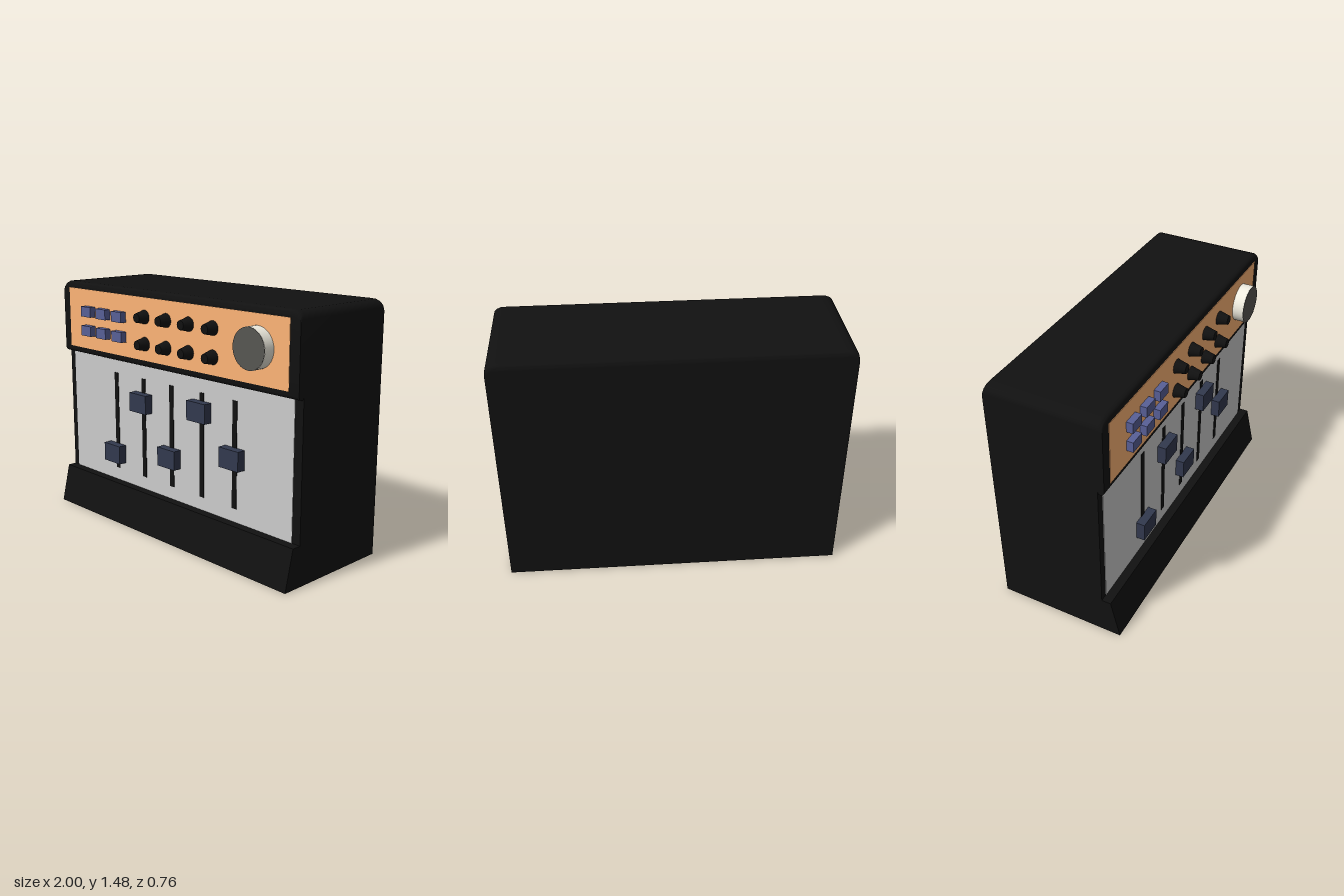
import * as THREE from 'three';
import { toCreasedNormals } from 'three/addons/utils/BufferGeometryUtils.js';

const paint = (color) => new THREE.MeshStandardMaterial({ color });

export function createModel() {
  const model = new THREE.Group();
  const black = paint(0x111111);
  const grey = paint(0xcccccc);
  const orange = paint(0xfdb476);
  const blue = paint(0x586097);
  const navy = paint(0x32394e);
  const ivory = paint(0xf0ede0);
  const capGrey = paint(0x575652);

  function add(name, geometry, material, x = 0, y = 0, z = 0) {
    const mesh = new THREE.Mesh(geometry, material);
    mesh.name = name;
    mesh.position.set(x, y, z);
    model.add(mesh);
    return mesh;
  }
  // box given by its centre in x and y, and its back and front in z
  const block = (name, material, x, y, w, h, back, front) =>
    add(name, new THREE.BoxGeometry(w, h, front - back), material, x, y, (back + front) / 2);
  // round control pointing forward
  const dial = (name, material, x, y, rBack, rFront, back, front, sides = 40) =>
    add(name, new THREE.CylinderGeometry(rFront, rBack, front - back, sides), material,
      x, y, (back + front) / 2).rotation.x = Math.PI / 2;

  // housing: side profile with sloped foot and overhanging top, swept across the width
  const profile = new THREE.Shape();
  profile.moveTo(-0.38, 0);
  profile.lineTo(0.38, 0);
  profile.lineTo(0.325, 0.235);
  profile.lineTo(0.27, 0.235);
  profile.lineTo(0.27, 1.04);
  profile.quadraticCurveTo(0.272, 1.02, 0.285, 1.02);
  profile.quadraticCurveTo(0.308, 1.02, 0.308, 1.05);
  profile.lineTo(0.308, 1.44);
  profile.quadraticCurveTo(0.308, 1.475, 0.275, 1.475);
  profile.lineTo(-0.35, 1.475);
  profile.quadraticCurveTo(-0.38, 1.475, -0.38, 1.44);
  const housing = new THREE.ExtrudeGeometry(profile,
    { depth: 1, steps: 32, bevelEnabled: false, curveSegments: 6 });
  housing.rotateY(-Math.PI / 2);
  // crowd the sections towards the ends and round the top edges there
  const p = housing.attributes.position;
  for (let i = 0; i < p.count; i++) {
    const x = Math.cos(-p.getX(i) * Math.PI);
    const t = Math.max(0, (Math.abs(x) - 0.94) / 0.06);
    const drop = 0.045 * (1 - Math.sqrt(Math.max(0, 1 - t * t)));
    const y = p.getY(i);
    p.setXYZ(i, x, y > 1.3 ? y - drop * (y - 1.3) / 0.175 : y, p.getZ(i));
  }
  add('housing', toCreasedNormals(housing, 0.6), black);

  // face panels
  block('upperPanel', orange, -0.002, 1.247, 1.87, 0.375, 0.29, 0.311);
  block('faderPanel', grey, -0.005, 0.627, 1.9, 0.785, 0.25, 0.273);

  // push buttons, two rows of three
  for (const y of [1.3, 1.18])
    for (const x of [-0.72, -0.57, -0.415])
      block('button', blue, x, y, 0.095, 0.063, 0.3, 0.35);

  // tapered small knobs, two rows of four
  for (const y of [1.32, 1.16])
    for (const x of [-0.19, 0, 0.19, 0.383])
      dial('smallKnob', black, x, y, 0.043, 0.027, 0.305, 0.375, 24);

  // large dial with a dark cap
  dial('largeDial', ivory, 0.715, 1.258, 0.114, 0.114, 0.3, 0.378);
  dial('largeDialCap', capGrey, 0.715, 1.258, 0.113, 0.113, 0.37, 0.38);

  // sliders in their slots: [x, handle height]
  for (const [x, y] of [[-0.518, 0.42], [-0.256, 0.79], [-0.002, 0.5], [0.257, 0.83], [0.519, 0.612]]) {
    block('faderSlot', black, x, 0.625, 0.035, 0.62, 0.26, 0.276);
    block('faderHandle', navy, x, y, 0.15, 0.115, 0.27, 0.325);
  }

  return model;
}
